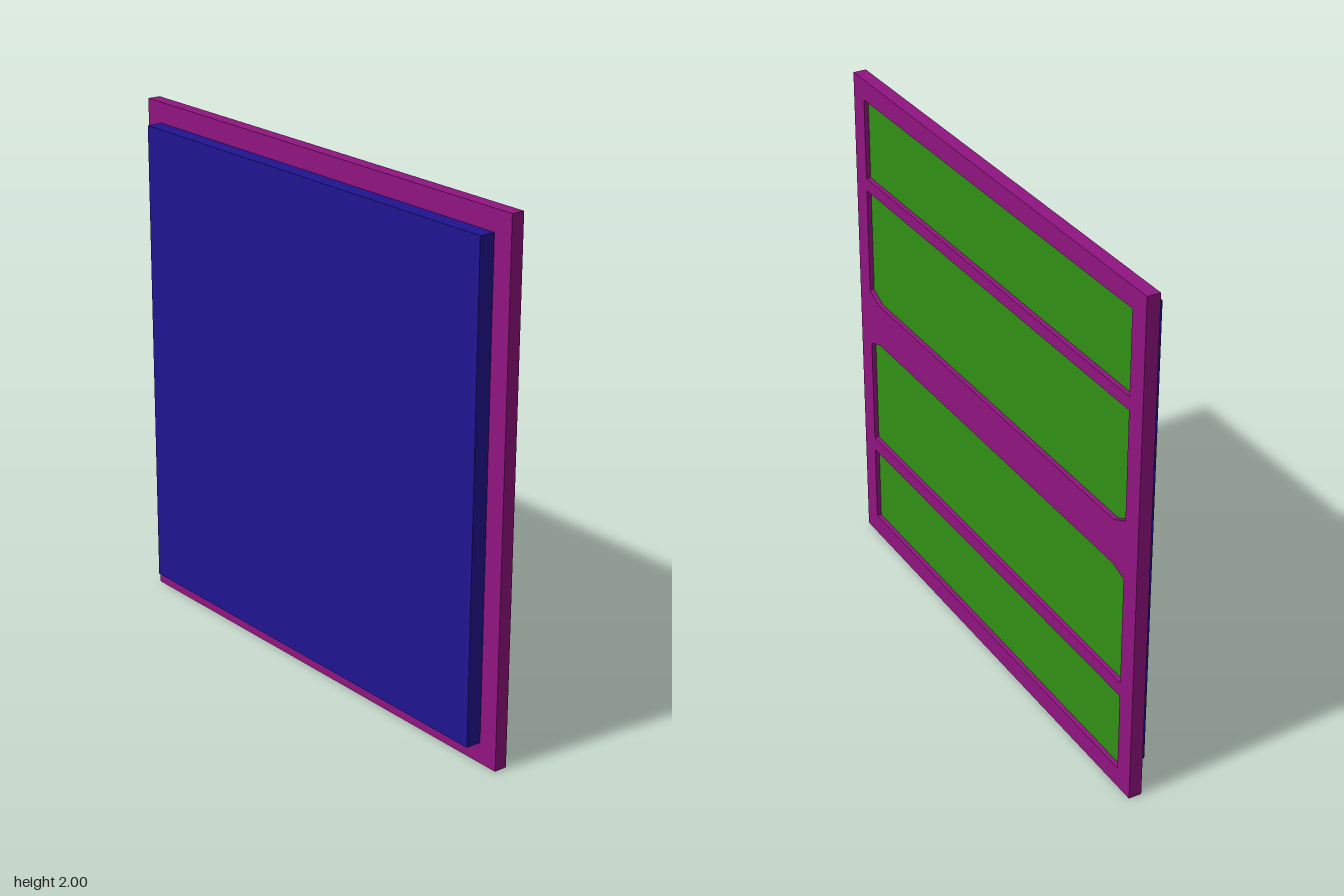
import * as THREE from 'three';

const HALF = 0.92;    // half width of the openings and backing
const BACK = 0.005;   // plane where frame and backing meet
const FRONT = 0.056;  // outer face of the frame
const PANE = 0.038;   // recessed face of the panes

// Outlines of the four openings, (z, y)
const rect = (y0, y1) => [[-HALF, y0], [HALF, y0], [HALF, y1], [-HALF, y1]];
const openings = {
  bottomPane: rect(0.08, 0.40),
  lowerMiddlePane: [[-HALF, 0.455], [HALF, 0.455], [HALF, 0.89], [0.85, 0.915], [-0.85, 0.915], [-HALF, 0.89]],
  upperMiddlePane: [[-HALF, 1.125], [-0.85, 1.09], [0.85, 1.09], [HALF, 1.125], [HALF, 1.55], [-HALF, 1.55]],
  topPane: rect(1.60, 1.92),
};

const toPoints = (list) => list.map(([u, v]) => new THREE.Vector2(u, v));

// Extrude a (z, y) outline along x between two planes
function slab(name, shape, x0, x1, material) {
  const geometry = new THREE.ExtrudeGeometry(shape, { depth: x1 - x0, bevelEnabled: false });
  geometry.rotateY(Math.PI / 2).translate(x0, 0, 0);
  const mesh = new THREE.Mesh(geometry, material);
  mesh.name = name;
  return mesh;
}

export function createModel() {
  const model = new THREE.Group();
  model.name = 'framedPanel';
  const purple = new THREE.MeshStandardMaterial({ color: 0x901480 });
  const green = new THREE.MeshStandardMaterial({ color: 0x309014 });
  const blue = new THREE.MeshStandardMaterial({ color: 0x201490 });

  // Frame with cross bars
  const outline = new THREE.Shape(toPoints([[-1, 0], [1, 0], [1, 2], [-1, 2]]));
  for (const points of Object.values(openings)) outline.holes.push(new THREE.Path(toPoints(points)));
  model.add(slab('frame', outline, BACK, FRONT, purple));

  // Recessed panes filling the openings
  for (const [name, points] of Object.entries(openings)) {
    model.add(slab(name, new THREE.Shape(toPoints(points)), BACK, PANE, green));
  }

  // Backing box
  const depth = BACK + FRONT;
  const backing = new THREE.Mesh(new THREE.BoxGeometry(depth, 1.84, 2 * HALF), blue);
  backing.name = 'backing';
  backing.position.set(BACK - depth / 2, 1, 0);
  model.add(backing);

  return model;
}
